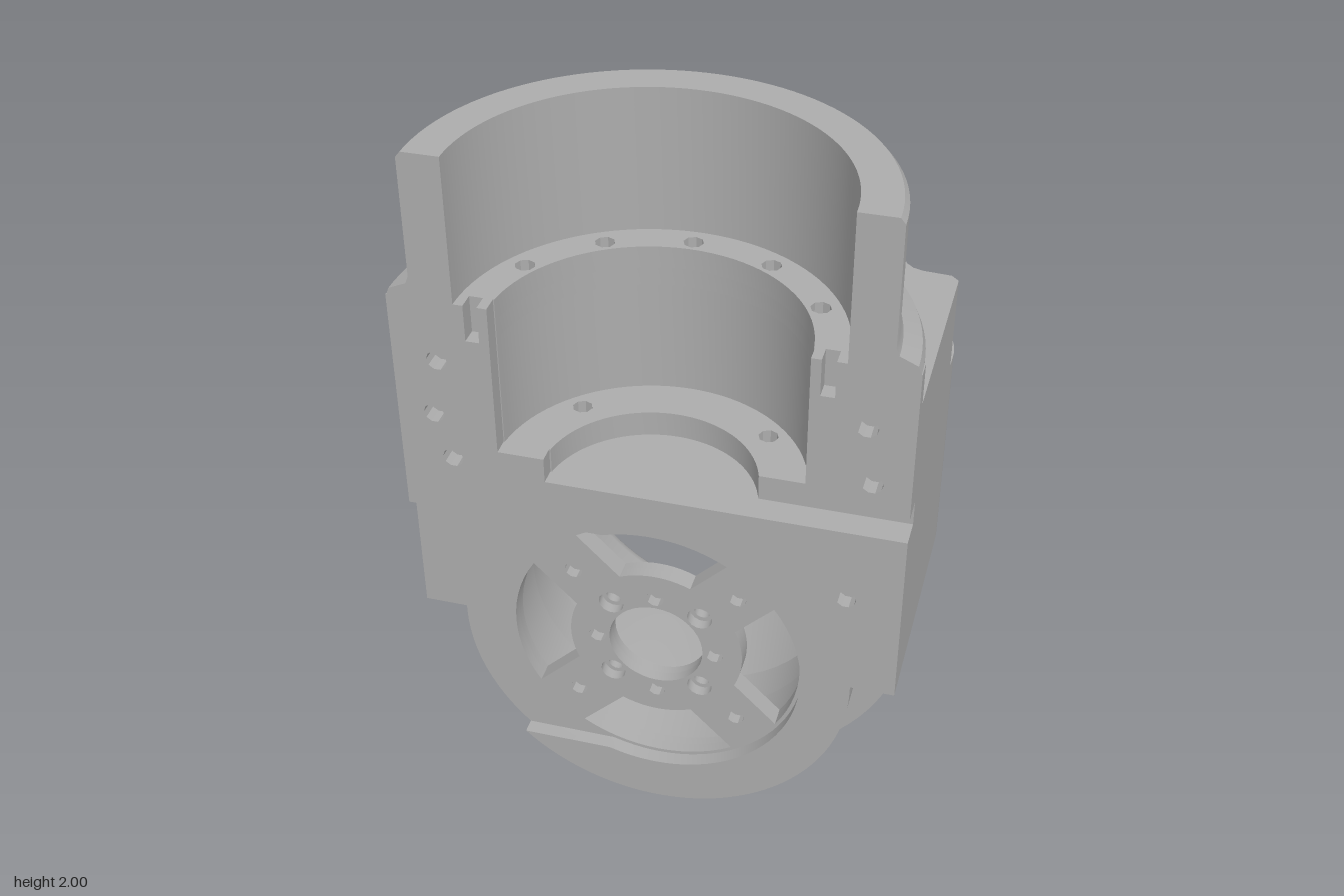
import * as THREE from 'three';
import { toCreasedNormals } from 'three/addons/utils/BufferGeometryUtils.js';

const PI = Math.PI, FRONT = 0.425, AXIS = 0.6; // mating plane, height of the horizontal bore

const arc = (cx, cy, rx, ry, a0, a1, n) => Array.from({ length: n + 1 }, (_, i) => {
  const a = a0 + (a1 - a0) * i / n;
  return [cx + rx * Math.cos(a), cy + ry * Math.sin(a)];
});
const circle = (x, y, r, n = 14) => arc(x, y, r, r, 0, 2 * PI, n).slice(0, -1);
const vecs = pts => pts.map(p => new THREE.Vector2(p[0], p[1]));

function extrude(pts, holes, depth, steps = 1) {
  const shape = new THREE.Shape(vecs(pts));
  holes.forEach(h => shape.holes.push(new THREE.Path(vecs(h))));
  return new THREE.ExtrudeGeometry(shape, { depth, steps, bevelEnabled: false });
}

// move every vertex by a rule (x, y, z) => [x, y, z]
function reshape(geo, rule) {
  const p = geo.attributes.position;
  for (let i = 0; i < p.count; i++) p.setXYZ(i, ...rule(p.getX(i), p.getY(i), p.getZ(i)));
  return geo;
}

export function createModel() {
  const group = new THREE.Group();
  const grey = new THREE.MeshStandardMaterial({ color: 0xacacac });
  grey.name = 'grey';
  const add = (name, geo) => {
    const mesh = new THREE.Mesh(toCreasedNormals(geo, 0.55), grey);
    mesh.name = name;
    group.add(mesh);
  };
  // layer stacked along z, points are [x, y]
  const layerZ = (name, pts, holes, z0, z1) => add(name, extrude(pts, holes, z1 - z0).translate(0, 0, z0));
  // layer stacked along y, points are [x, z]
  const flip = pts => pts.map(([x, z]) => [x, -z]);
  const layerY = (name, pts, holes, y0, y1) =>
    add(name, extrude(flip(pts), holes.map(flip), y1 - y0).rotateX(-PI / 2).translate(0, y0, 0));

  // outlines of the block with a round underside
  const block = (top, slitX) => {
    const side = Array.from({ length: 9 }, (_, i) => [0.645, 0.615 + (top - 0.615) * i / 8]);
    return [[slitX, 0.615], ...side, ...side.slice().reverse().map(([x, y]) => [-x, y]), [-slitX, 0.615]];
  };
  const shellOutline = [...block(1.12, 0.54), [-0.54, 0.585],
    ...arc(0, AXIS, 0.635, 0.6, PI + 0.025, 2 * PI - 0.025, 48), [0.54, 0.585]];
  const bossOutline = [...block(1.12, 0.53), ...arc(0, AXIS, 0.53, 0.53, PI, 2 * PI, 48)];

  // rear block: arch over the bore, corners and top rounded toward the back
  const BACK = -0.395;
  const round = (z, z0) => z < z0 ? 1 - Math.sqrt(Math.max(0, 1 - ((z0 - z) / (z0 - BACK)) ** 2)) : 0;
  const arch = [...block(1.24, 0.515), ...arc(0, AXIS, 0.515, 0.515, PI - 0.03, 0.03, 40)];
  add('rearBlock', reshape(extrude(arch, [], -BACK, 22).translate(0, 0, BACK), (x, y, z) => {
    if (Math.hypot(x, y - AXIS) < 0.53) return [x, y, z];
    const inset = 0.07 + 0.07 * THREE.MathUtils.clamp((y - 0.75) / 0.4, 0, 1);
    const w = 0.645 - inset * round(z, -0.22);
    return [THREE.MathUtils.clamp(x, -w, w), Math.min(y, 1.24 - 0.05 * round(z, -0.33)), z];
  }));

  // rounded wall around the bore, in two halves with a slit on each side, slightly wide toward the front
  const STEP = 0.05, BORE = 0.49;
  const wall = [[0.52, 0], [0.52, -0.425], [0.55, -0.423], [0.568, -0.416], [0.583, -0.402],
    [0.594, -0.38], [0.6, -0.345], [0.6, -0.28], [0.6, -0.2], [0.6, 0]];
  for (const [name, start] of [['lowerShell', -PI / 2], ['upperRim', PI / 2]]) {
    const half = new THREE.LatheGeometry(vecs(wall), 64, start + 0.027, PI - 0.054).rotateX(PI / 2);
    reshape(half, (x, y, z) => {
      const wide = 1.055 - 0.06 * THREE.MathUtils.smoothstep(-z, 0.2, 0.42);
      return [x * (Math.hypot(x, y) > 0.54 ? wide : 1), y, z];
    });
    add(name, half.translate(0, AXIS, 0));
  }
  const liner = [[BORE, STEP], [BORE, -0.385], [0.495, -0.405], [0.506, -0.419], [0.521, -0.425], [0.535, -0.42],
    [0.535, STEP]];
  add('boreLiner', new THREE.LatheGeometry(vecs(liner), 80).rotateX(PI / 2).translate(0, AXIS, 0));

  // step inside the bore, with screw holes
  const outerBore = circle(0, AXIS, 0.51, 64), innerBore = circle(0, AXIS, 0.415, 56);
  const screws = Array.from({ length: 12 }, (_, i) => {
    const a = i * PI / 6;
    return circle(0.455 * Math.cos(a), AXIS + 0.455 * Math.sin(a), 0.022, 8);
  });
  layerZ('middleHousing', shellOutline, [outerBore], 0, STEP);
  layerZ('boreStep', shellOutline, [innerBore, ...screws], STEP, 0.17);
  layerZ('frontBoss', bossOutline, [innerBore], 0.17, 0.33);

  // front plate: four windows between straight spokes, hub hole, bolts and blind pin holes
  const windows = [0, 1, 2, 3].map(k => {
    const half = r => PI / 4 - Math.asin(0.085 / r), a = k * PI / 2;
    return [...arc(0, AXIS, 0.39, 0.39, a - half(0.39), a + half(0.39), 14),
      ...arc(0, AXIS, 0.235, 0.235, a + half(0.235), a - half(0.235), 10)];
  });
  const through = [circle(0, AXIS, 0.128, 40), ...windows];
  const bolts = r => [[1, 1], [-1, 1], [1, -1], [-1, -1]].map(([sx, sy]) => circle(sx * 0.12, AXIS + sy * 0.12, r));
  const pins = [[0, 0.16], [0, -0.16], [0.16, 0], [-0.16, 0], [0.22, 0.21], [-0.22, 0.21],
    [0.22, -0.21], [-0.22, -0.21]].map(([x, y]) => circle(x, AXIS + y, 0.024, 10));
  layerZ('frontPlateBack', bossOutline, [...through, ...bolts(0.022)], 0.33, 0.355);
  layerZ('frontPlate', bossOutline, [...through, ...bolts(0.034), ...pins], 0.355, 0.385);

  // raised front face around the round recess, which opens to the right side
  const open = PI / 2 + 0.318;
  layerZ('frontFace', [[0.53, 0.615], [0.645, 0.615], [0.645, 1.12], [-0.645, 1.12], [-0.645, 0.98],
    ...arc(0, AXIS, 0.4, 0.4, open, -open, 48), ...arc(0, AXIS, 0.53, 0.53, PI + 0.799, 2 * PI, 40)],
    [circle(0.505, 0.91, 0.026, 10)], 0.385, FRONT);

  // upright half bore, stacked in steps
  const halfBore = (r, zl, zr = zl) => // from left front to right front, round the back
    arc(0, FRONT, r, r, PI + Math.asin((FRONT - zl) / r), 2 * PI - Math.asin((FRONT - zr) / r), 40);
  layerY('boreFloor', [...halfBore(0.27, 0.38, 0.35), [0.645, 0.35], [0.645, -0.02], [-0.645, -0.02], [-0.645, 0.38]],
    [circle(0.245, 0.185, 0.026, 8), circle(-0.245, 0.185, 0.026, 8)], 1.12, 1.19);
  const tier = [[0.645, 0.38], [0.645, -0.17], [0.625, -0.19], [0.55, -0.195], [0.525, -0.203], [0.505, -0.22],
    [0.492, -0.25], [0.485, -0.273], [0.465, -0.292], [0.44, -0.3]];
  layerY('upperBlock', [...halfBore(0.39, 0.38), ...tier, ...tier.slice().reverse().map(([x, z]) => [-x, z])],
    [], 1.19, 1.5);
  const flange = [...halfBore(0.39, 0.38), ...halfBore(0.643, 0.38).reverse()];
  const ledgeHoles = [PI / 6, PI / 3, PI / 2, 2 * PI / 3, 5 * PI / 6].map(a =>
    circle(0.425 * Math.cos(a), FRONT - 0.425 * Math.sin(a), 0.026, 8));
  layerY('flange', flange, [], 1.5, 1.55);
  layerY('ledge', flange, ledgeHoles, 1.55, 1.61);

  // mating faces beside the bore
  for (const s of [1, -1]) {
    const foot = s > 0 ? [[0.39, 1.19], [0.645, 1.19]] : [[0.39, 1.19], [0.27, 1.19], [0.27, 1.12], [0.645, 1.12]];
    const pts = [...foot, [0.645, 1.61], [0.45, 1.61], [0.45, 1.51], [0.415, 1.51], [0.415, 1.61], [0.39, 1.61]];
    const spots = [[0.53, 1.44], [0.55, 1.28]];
    if (s < 0) spots.push([0.51, 1.15]);
    layerZ(s > 0 ? 'leftMatingFace' : 'rightMatingFace', pts.map(([x, y]) => [s * x, y]),
      spots.map(([x, y]) => circle(s * x, y, 0.027, 10)), 0.38, FRONT);
  }

  // half-round neck with a flat cut at the front
  const profile = [[0.475, 1.61], [0.643, 1.61], [0.635, 1.63], [0.59, 1.65], [0.582, 1.67], [0.582, 1.985],
    [0.57, 2], [0.475, 2], [0.475, 1.61]];
  add('neck', new THREE.LatheGeometry(vecs(profile), 56, PI / 2, PI).translate(0, 0, FRONT));
  for (const s of [1, -1]) {
    const cut = new THREE.Shape(vecs(profile.slice(0, -1).map(([r, y]) => [s * r, y])));
    add('neckCut', new THREE.ShapeGeometry(cut).translate(0, 0, FRONT));
  }

  // key ribs on the back of neck and flange, profiles are [-z, y]; the neck rib flares at its root
  const rib = (pts, w) => extrude(pts, [], 2 * w).rotateY(PI / 2).translate(-w, 0, 0);
  add('neckKey', reshape(rib([[0.11, 1.63], [0.205, 1.63], [0.205, 1.93], [0.14, 1.995], [0.11, 1.995]], 0.11),
    (x, y, z) => [z > -0.12 ? x * 1.5 : x, y, z]));
  add('flangeKey', rib([[0.15, 1.49], [0.25, 1.49], [0.25, 1.59], [0.235, 1.605], [0.15, 1.605]], 0.1));

  return group;
}
